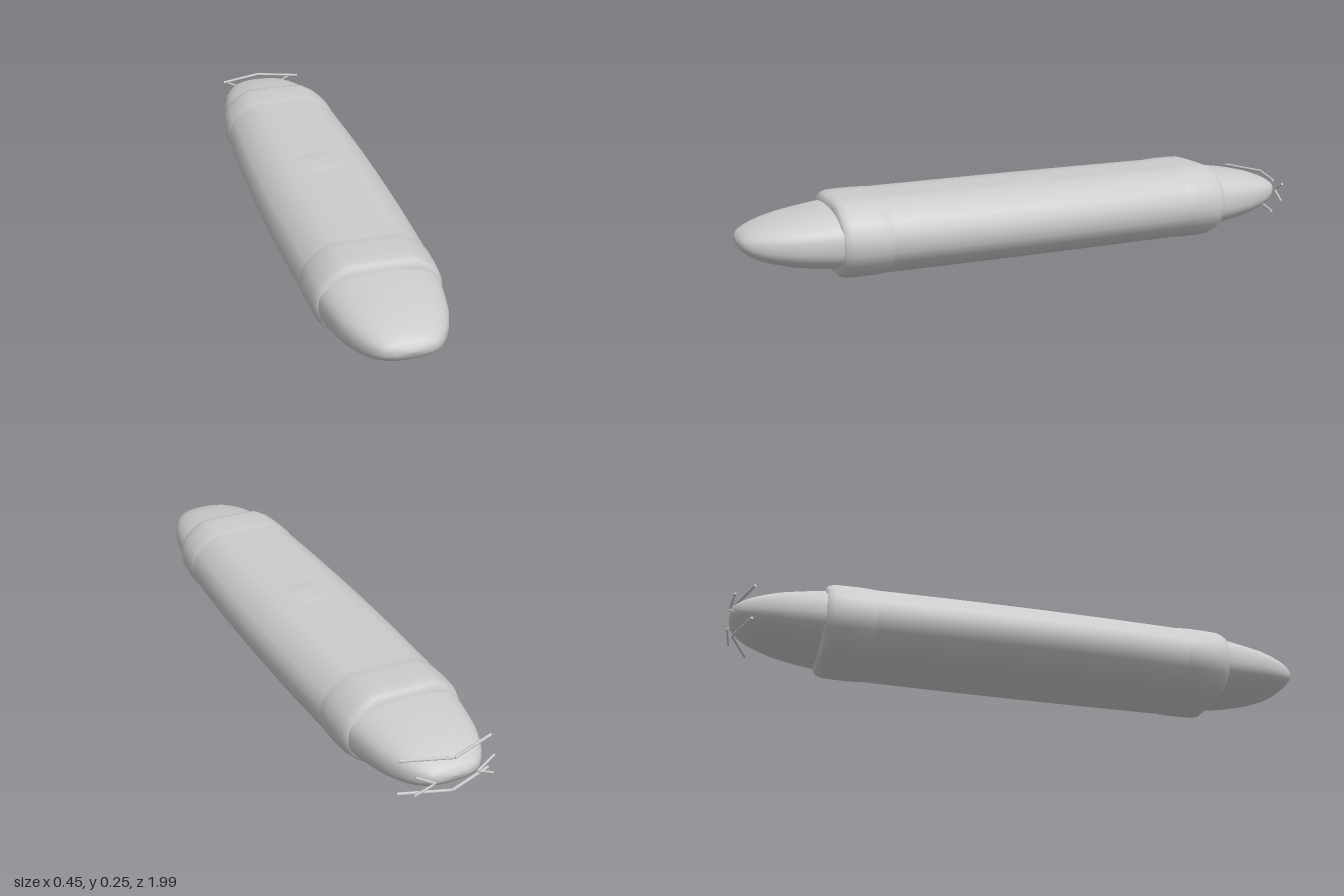
import * as THREE from 'three';

const material = new THREE.MeshStandardMaterial({ color: 0xcccccc, side: THREE.DoubleSide });
const MID = 0.125;

// Unit hull section: flat top and bottom with faceted, rounded sides
const quarter = [[1, 0], [0.975, 0.26], [0.9, 0.54], [0.72, 0.8], [0.52, 0.985], [0.25, 1], [0, 1]];
const upperHalf = [...quarter, ...quarter.slice(0, -1).reverse().map(([x, y]) => [-x, y])];
const hullSection = [...upperHalf, ...upperHalf.slice(1, -1).reverse().map(([x, y]) => [x, -y])];

// Unit superellipse section
function superellipse(power, count = 40) {
  const bend = (v) => Math.sign(v) * Math.abs(v) ** (2 / power);
  return Array.from({ length: count }, (_, i) => {
    const a = (i / count) * Math.PI * 2;
    return [bend(Math.cos(a)), bend(Math.sin(a))];
  });
}

// Skin a section along z; each station is [z, halfWidth, halfHeight, centreY]
function loft(section, stations) {
  const positions = [], index = [], n = section.length;
  for (const [z, w, h, cy = MID] of stations)
    for (const [x, y] of section) positions.push(x * w, cy + y * h, z);
  for (let i = 0; i < stations.length - 1; i++)
    for (let j = 0; j < n; j++) {
      const a = i * n + j, b = i * n + ((j + 1) % n);
      index.push(a, b, b + n, a, b + n, a + n);
    }
  const geometry = new THREE.BufferGeometry();
  geometry.setAttribute('position', new THREE.Float32BufferAttribute(positions, 3));
  geometry.setIndex(index);
  geometry.computeVertexNormals();
  return geometry;
}

function add(parent, name, geometry) {
  const mesh = new THREE.Mesh(geometry, material);
  mesh.name = name;
  parent.add(mesh);
  return mesh;
}

// Thin rod between two points
function rod(parent, name, from, to, radius) {
  const a = new THREE.Vector3(...from), b = new THREE.Vector3(...to);
  const dir = b.clone().sub(a);
  const mesh = add(parent, name, new THREE.CylinderGeometry(radius, radius, dir.length(), 8));
  mesh.position.copy(a).add(b).multiplyScalar(0.5);
  mesh.quaternion.setFromUnitVectors(new THREE.Vector3(0, 1, 0), dir.normalize());
}

export function createModel() {
  const model = new THREE.Group();
  model.name = 'vessel';

  // Long hull, slightly wider amidships
  const hull = [-0.66, -0.5, -0.3, -0.15, 0, 0.15, 0.3, 0.5, 0.66]
    .map((z) => [z, 0.223 - 0.045 * z * z, 0.122]);
  add(model, 'hull', loft(hullSection, hull));

  // Raised pad showing through the top and bottom amidships
  const pad = [];
  for (let i = 0; i <= 12; i++) {
    const t = -Math.PI / 2 + (i / 12) * Math.PI, c = Math.cos(t) ** 0.5;
    pad.push([-0.01 + 0.082 * Math.sin(t), 0.08 + 0.05 * c, 0.112 + 0.0135 * c]);
  }
  add(model, 'centrePad', loft(superellipse(3.5), pad));

  // Collar and tapered nose at each end
  for (const [name, turn] of [['front', 0], ['rear', Math.PI]]) {
    const end = new THREE.Group();
    end.name = name + 'End';
    end.rotation.y = turn;
    add(end, name + 'Collar', loft(hullSection, [
      [0.515, 0.202, 0.117], [0.54, 0.211, 0.123], [0.58, 0.211, 0.125], [0.63, 0.209, 0.125],
      [0.67, 0.205, 0.1245], [0.69, 0.198, 0.119], [0.7, 0.188, 0.106], [0.702, 0.15, 0.085],
    ]));
    add(end, name + 'Nose', loft(superellipse(2.5), [
      [0.66, 0.196, 0.102], [0.72, 0.189, 0.098], [0.78, 0.178, 0.09], [0.84, 0.164, 0.08, 0.126],
      [0.89, 0.145, 0.068, 0.127], [0.93, 0.124, 0.056, 0.128], [0.96, 0.102, 0.042, 0.13],
      [0.98, 0.08, 0.028, 0.132], [0.99, 0.052, 0.015, 0.133], [0.993, 0.0005, 0.0005, 0.133],
    ]));
    model.add(end);
  }

  // Rear antennae: two wide bent rods and a small sideways pair of prongs each side
  const antennae = new THREE.Group();
  antennae.name = 'rearAntennae';
  for (const side of [-1, 1]) {
    for (const y of [0.185, 0.07])
      rod(antennae, 'longAntenna', [0, y, -0.977], [side * 0.153, y, -0.925], 0.005);
    for (const dy of [-0.032, 0.032])
      rod(antennae, 'shortProng', [side * 0.07, 0.128, -0.995], [side * 0.13, 0.128 + dy, -0.984], 0.004);
  }
  model.add(antennae);

  return model;
}
